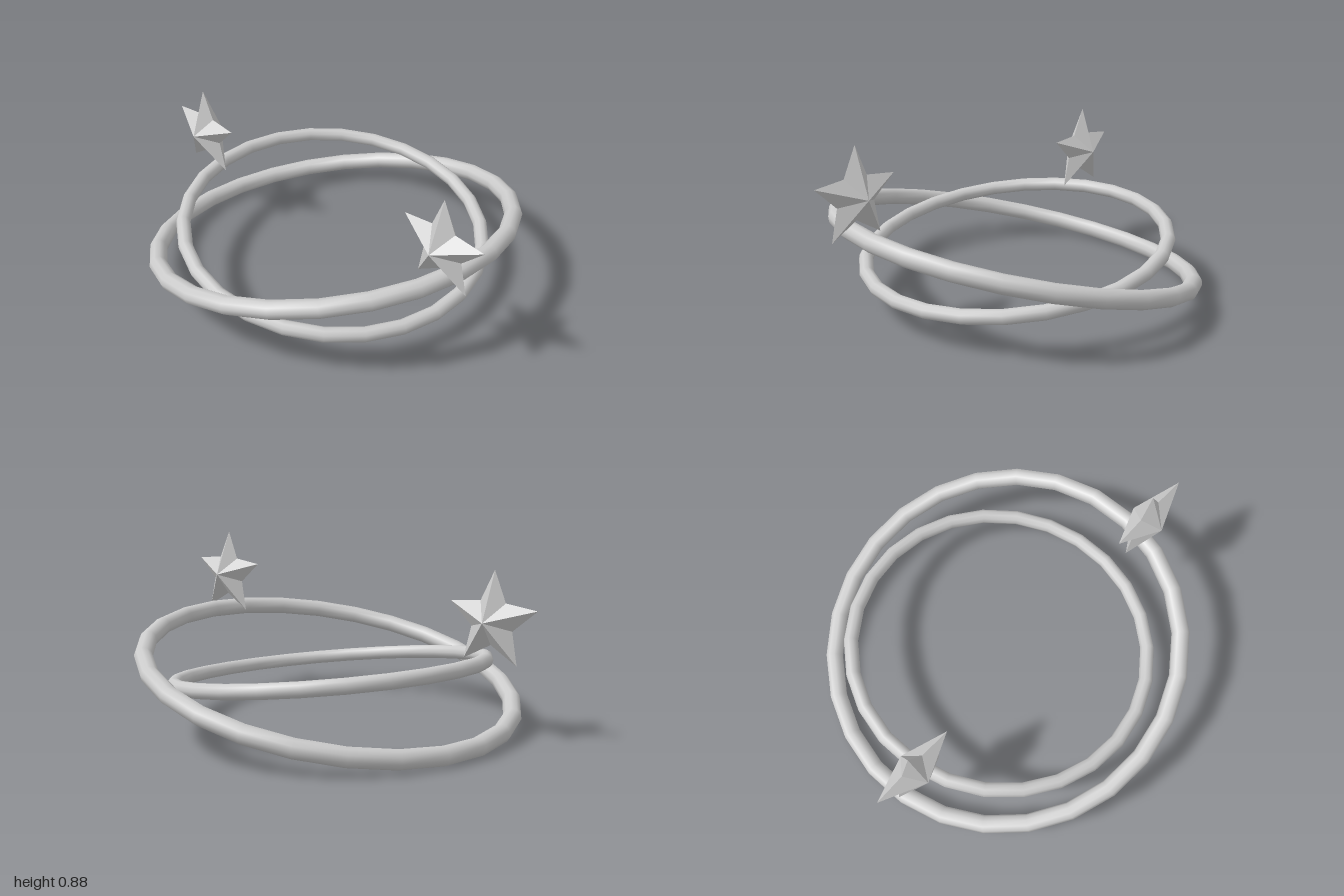
import * as THREE from 'three';

const rad = THREE.MathUtils.degToRad;
const smooth = new THREE.MeshStandardMaterial({ color: 0xcccccc });
const faceted = new THREE.MeshStandardMaterial({ color: 0xcccccc, flatShading: true });

// Tilted hoop lying around the vertical axis
function makeRing(name, radius, tube, tilt) {
  const geometry = new THREE.TorusGeometry(radius, tube, 10, 26).rotateX(-Math.PI / 2);
  const ring = new THREE.Mesh(geometry, smooth);
  ring.name = name;
  ring.position.set(0, 0.26, -0.075);
  ring.rotation.x = rad(tilt);
  return ring;
}

// Five-pointed star with a raised apex on both faces
function starGeometry(outer, inner, depth) {
  const rim = [];
  for (let i = 0; i < 10; i++) {
    const a = Math.PI / 2 + (i * Math.PI) / 5;
    const r = i % 2 ? inner : outer;
    rim.push([r * Math.cos(a), r * Math.sin(a), 0]);
  }
  const points = [];
  rim.forEach((p, i) => {
    const q = rim[(i + 1) % 10];
    points.push(...p, ...q, 0, 0, depth);
    points.push(...q, ...p, 0, 0, -depth);
  });
  const geometry = new THREE.BufferGeometry();
  geometry.setAttribute('position', new THREE.Float32BufferAttribute(points, 3));
  geometry.computeVertexNormals();
  return geometry;
}

export function createModel() {
  const model = new THREE.Group();
  model.name = 'starRings';

  // Two crossing hoops
  model.add(makeRing('outerRing', 0.885, 0.043, -14));
  model.add(makeRing('innerRing', 0.745, 0.035, 7.6));

  // A star standing on the raised end of each hoop
  const geometry = starGeometry(0.228, 0.107, 0.088);
  const stars = [
    ['frontStar', 0, 0.656, 0.788],
    ['backStar', -0.338, 0.544, -0.785],
  ];
  for (const [name, x, y, z] of stars) {
    const star = new THREE.Mesh(geometry, faceted);
    star.name = name;
    star.position.set(x, y, z);
    star.rotation.set(0, rad(101.2), rad(-2));
    model.add(star);
  }
  return model;
}
